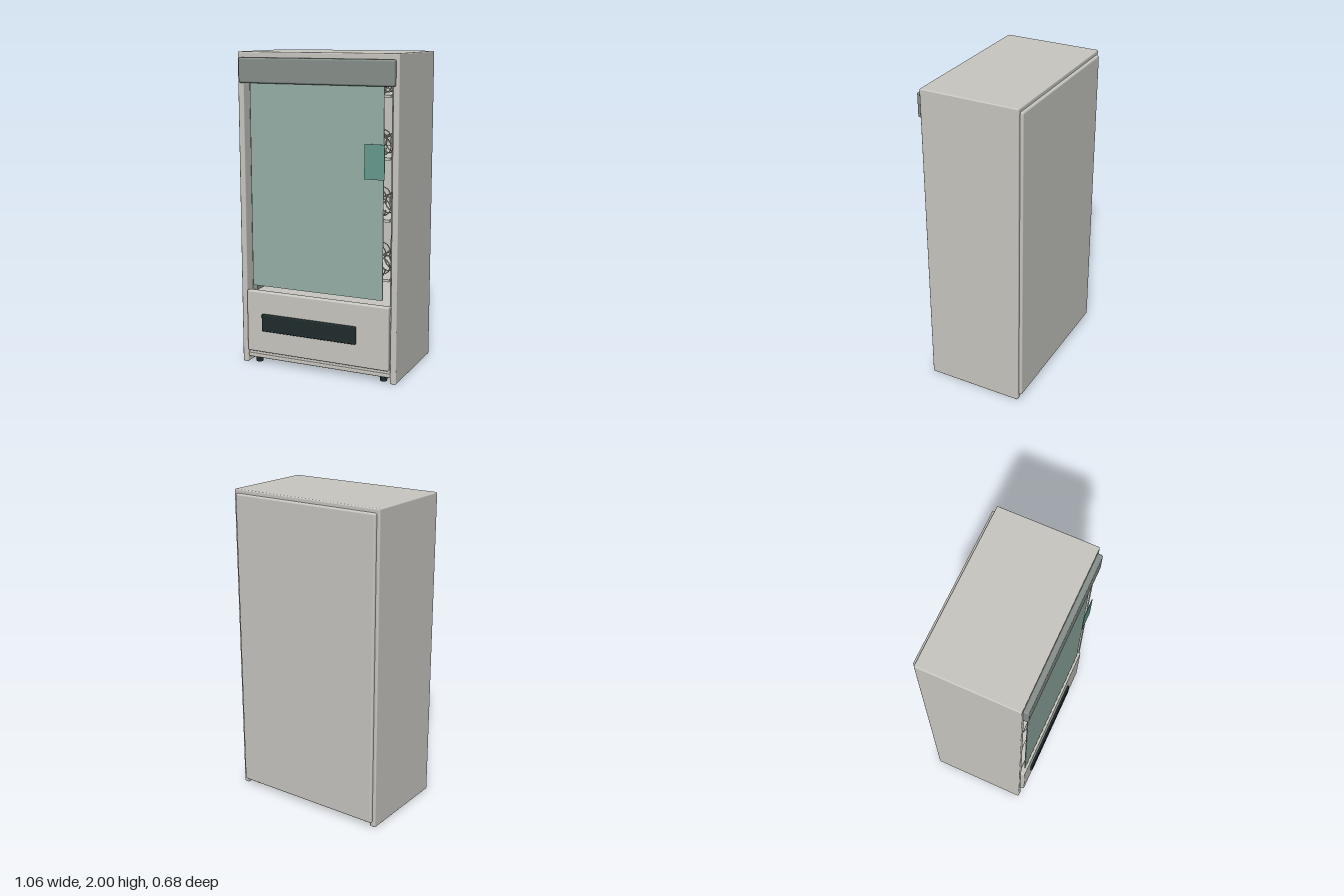
import * as THREE from 'three';
import { RoundedBoxGeometry } from 'three/addons/geometries/RoundedBoxGeometry.js';

const mat = (name, color, side = THREE.FrontSide) => {
  const m = new THREE.MeshStandardMaterial({ color, side });
  m.name = name;
  return m;
};

export function createModel() {
  const group = new THREE.Group();
  group.name = 'vendingMachine';
  const body = mat('warm grey body', 0xc8c7c1);
  const trim = mat('dark grey trim', 0x87908a);
  const glass = mat('pale green glass', 0x95b0a6, THREE.DoubleSide);
  const display = mat('teal display', 0x669a8e, THREE.DoubleSide);
  const dark = mat('near black', 0x1f2c2c);

  const add = (name, geometry, material, x = 0, y = 0, z = 0) => {
    const mesh = new THREE.Mesh(geometry, material);
    mesh.name = name;
    mesh.position.set(x, y, z);
    group.add(mesh);
    return mesh;
  };
  // Box given by its limits, with optionally rounded edges
  const box = (name, material, [x0, x1], [y0, y1], [z0, z1], r = 0) => {
    const size = [x1 - x0, y1 - y0, z1 - z0];
    const geometry = r ? new RoundedBoxGeometry(...size, 2, r) : new THREE.BoxGeometry(...size);
    return add(name, geometry, material, (x0 + x1) / 2, (y0 + y1) / 2, (z0 + z1) / 2);
  };

  // Cabinet shell
  for (const s of [-1, 1]) {
    const span = (a, b) => [Math.min(s * a, s * b), Math.max(s * a, s * b)];
    box('sidePanel', body, span(0.493, 0.532), [0, 2], [-0.322, 0.308], 0.008);
    box('innerLiner', trim, span(0.46, 0.495), [0.1, 1.96], [-0.3, 0.23]);
  }
  box('topPanel', body, [-0.532, 0.532], [1.96, 2], [-0.322, 0.308], 0.008);
  box('backPanel', body, [-0.512, 0.512], [0.03, 1.975], [-0.34, -0.3], 0.012);
  box('basePanel', body, [-0.495, 0.495], [0.035, 0.06], [-0.32, 0.3], 0.006);
  box('lowerCabinet', body, [-0.494, 0.494], [0.055, 0.47], [-0.3, 0.295]);

  // Front parts
  box('header', trim, [-0.512, 0.512], [1.81, 1.965], [0.28, 0.34], 0.012);
  box('lowerDoor', body, [-0.487, 0.487], [0.085, 0.49], [0.285, 0.326], 0.01);
  box('deliverySlot', dark, [-0.376, 0.276], [0.23, 0.345], [0.31, 0.34], 0.008);
  box('glassDoor', glass, [-0.445, 0.442], [0.525, 1.82], [0.307, 0.313]);
  box('displayPlate', display, [0.33, 0.458], [1.265, 1.475], [0.336, 0.34]);

  // Shelves with spiral dispensers
  const points = [];
  for (let i = 0; i <= 48; i++) {
    const a = (i / 8) * Math.PI * 2;
    points.push(new THREE.Vector3(Math.cos(a) * 0.055, Math.sin(a) * 0.055, -0.24 + i * 0.01));
  }
  const coil = new THREE.TubeGeometry(new THREE.CatmullRomCurve3(points), 96, 0.004, 4);
  for (const y of [0.635, 1.005, 1.38, 1.75]) {
    box('shelf', body, [-0.458, 0.458], [y - 0.008, y + 0.008], [-0.3, 0.25]);
    for (let i = 0; i < 6; i++) add('spiral', coil, body, -0.375 + i * 0.15, y + 0.067, 0);
  }

  // Feet
  const foot = new THREE.CylinderGeometry(0.025, 0.022, 0.05, 16);
  for (const x of [-0.435, 0.435])
    for (const z of [-0.27, 0.26]) add('foot', foot, dark, x, 0.025, z);

  return group;
}
